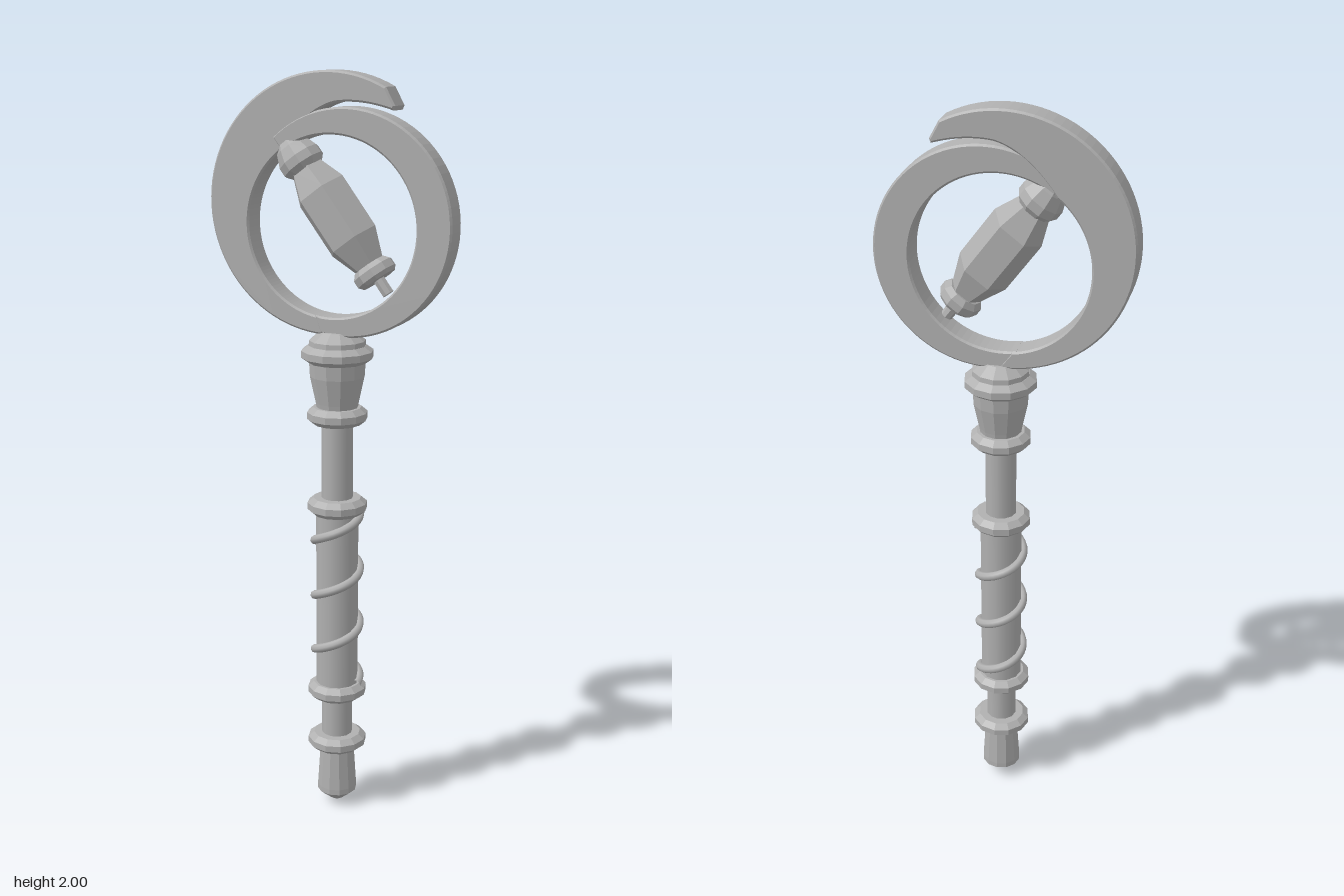
import * as THREE from 'three';

const steel = new THREE.MeshStandardMaterial({ color: 0xb0b0b0 });
steel.name = 'plain grey';

const AXIS_X = 0.012; // handle axis

function add(parent, name, geometry) {
  const mesh = new THREE.Mesh(geometry, steel);
  mesh.name = name;
  parent.add(mesh);
  return mesh;
}

// Turned part; faceted unless smooth is asked for
function turned(profile, sides, smooth = false, phi = 0) {
  const g = new THREE.LatheGeometry(profile.map(([r, y]) => new THREE.Vector2(r, y)), sides, phi);
  if (smooth) return g;
  const flat = g.toNonIndexed();
  flat.computeVertexNormals();
  return flat;
}

// Bevelled collar around the handle
function collar(y0, y1, r) {
  const h = y1 - y0;
  return turned([[0, y0], [r * 0.8, y0], [r, y0 + h * 0.3], [r, y0 + h * 0.7], [r * 0.8, y1], [0, y1]], 12);
}

// Crescent plate with a small bevel on both faces
function crescent(shape) {
  const bevel = 0.005, depth = 0.072;
  const g = new THREE.ExtrudeGeometry(shape, {
    depth: depth - 2 * bevel, bevelEnabled: true, bevelThickness: bevel,
    bevelSize: bevel, bevelOffset: -bevel, bevelSegments: 1, curveSegments: 28,
  });
  return g.translate(0, 0, -depth / 2 + bevel);
}

class Helix extends THREE.Curve {
  getPoint(t, target = new THREE.Vector3()) {
    const a = -t * Math.PI * 6.2 + 0.1;
    return target.set(0.061 * Math.cos(a), 0.37 + 0.49 * t, 0.061 * Math.sin(a));
  }
}

export function createModel() {
  const model = new THREE.Group();
  model.name = 'wand';

  // Handle: pommel, shafts, grip, socket
  const handle = new THREE.Group();
  handle.name = 'handle';
  handle.position.x = AXIS_X;
  model.add(handle);
  add(handle, 'pommel', turned([[0, 0], [0.02, 0.012], [0.054, 0.04], [0.054, 0.055], [0.046, 0.18]], 12));
  add(handle, 'lowerShaft', turned([[0.042, 0.19], [0.042, 0.35]], 12, true));
  add(handle, 'grip', turned([[0.057, 0.35], [0.057, 0.87]], 12, true));
  add(handle, 'upperShaft', turned([[0.042, 0.88], [0.042, 1.12]], 12, true));
  add(handle, 'socket', turned([[0.052, 1.13], [0.057, 1.16], [0.072, 1.23], [0.075, 1.28]], 12));
  add(handle, 'socketCap', turned([[0.076, 1.3], [0.074, 1.325], [0.045, 1.348], [0, 1.352]], 12));
  const collars = [[0.172, 0.215, 0.08], [0.325, 0.368, 0.08], [0.855, 0.9, 0.08], [1.103, 1.148, 0.08], [1.267, 1.312, 0.095]];
  for (const [y0, y1, r] of collars) add(handle, 'collar', collar(y0, y1, r));
  add(handle, 'wireWrap', new THREE.TubeGeometry(new Helix(), 96, 0.012, 8));

  // Ring of two interlocking crescents
  const rad = THREE.MathUtils.degToRad;
  const left = new THREE.Shape();
  left.absarc(-0.003, 1.671, 0.329, rad(62), rad(272), false);
  left.absarc(0.007, 1.617, 0.23, rad(262), rad(128), true);
  left.quadraticCurveTo(-0.06, 1.905, 0.02, 1.923);
  left.quadraticCurveTo(0.09, 1.932, 0.172, 1.906);
  left.lineTo(0.176, 1.917);
  left.closePath();
  add(model, 'leftCrescent', crescent(left)).position.z = -0.002;

  const right = new THREE.Shape();
  right.absarc(0.042, 1.626, 0.287, rad(-103), rad(133), false);
  right.absarc(0.007, 1.617, 0.229, rad(126), rad(-101), true);
  right.closePath();
  add(model, 'rightCrescent', crescent(right));

  // Tilted spindle inside the ring
  const spindle = new THREE.Group();
  spindle.name = 'spindle';
  spindle.position.set(0.013, 1.643, 0.003);
  spindle.rotation.z = rad(36.6);
  model.add(spindle);
  const phi = Math.PI / 2;
  add(spindle, 'crystal', turned([[0, -0.15], [0.042, -0.15], [0.072, -0.075], [0.072, 0.075], [0.042, 0.15], [0, 0.15]], 6, false, phi));
  add(spindle, 'topKnob', turned([[0, 0.14], [0.045, 0.14], [0.058, 0.155], [0.058, 0.178], [0.045, 0.21], [0.028, 0.235], [0, 0.238]], 10, false, phi));
  add(spindle, 'lowerCollar', turned([[0, -0.192], [0.048, -0.192], [0.057, -0.182], [0.057, -0.162], [0.045, -0.148], [0, -0.148]], 10, false, phi));
  add(spindle, 'pin', turned([[0, -0.235], [0.016, -0.235], [0.016, -0.19]], 8, false, phi));

  return model;
}
